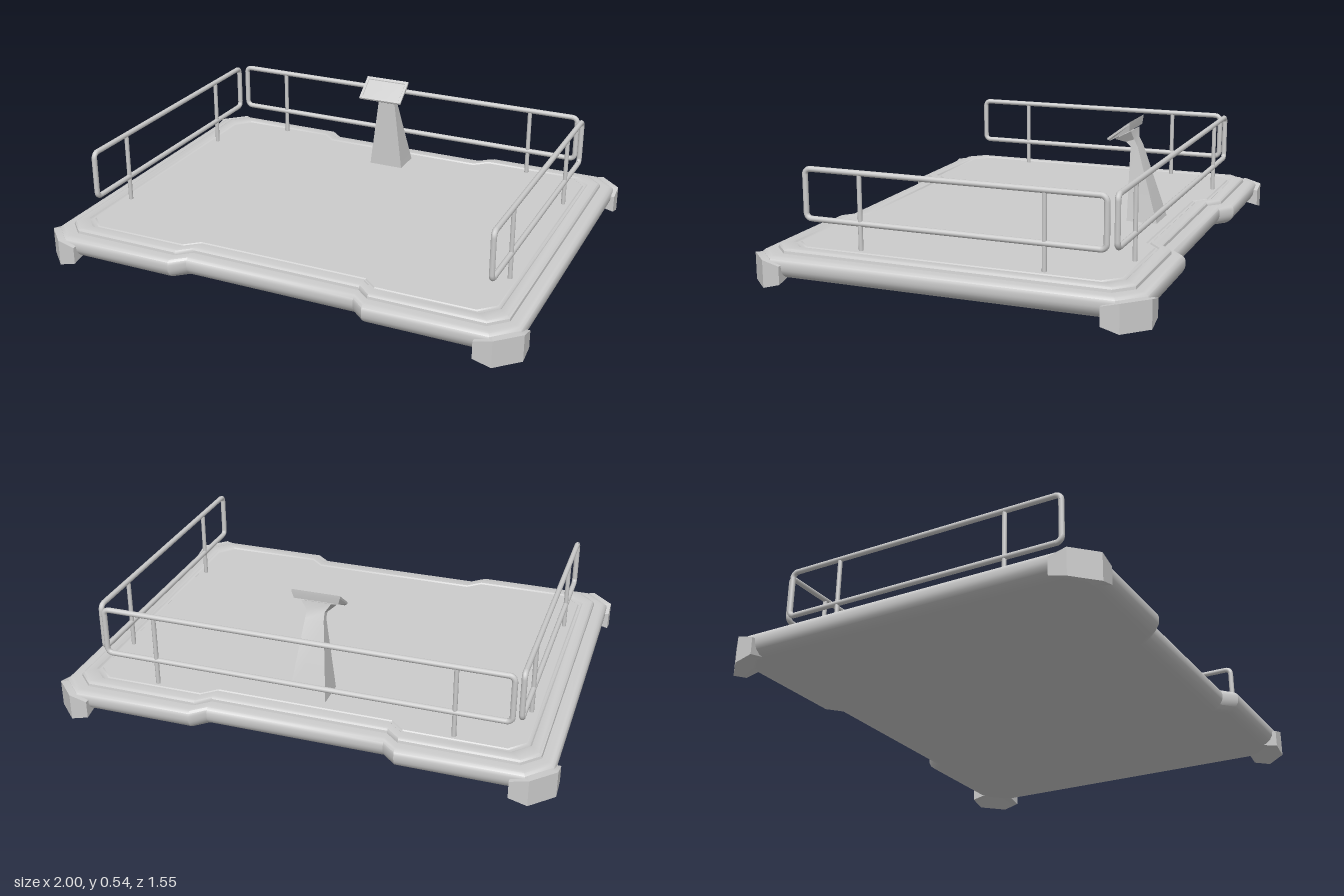
import * as THREE from 'three';
import { toCreasedNormals } from 'three/addons/utils/BufferGeometryUtils.js';

const material = new THREE.MeshStandardMaterial({ color: 0xcccccc });

function add(parent, name, geometry) {
  const mesh = new THREE.Mesh(geometry, material);
  mesh.name = name;
  parent.add(mesh);
  return mesh;
}

// Skins a stack of closed rings (counter-clockwise seen from the last ring) and caps both ends.
function loft(rings, crease = 0.55) {
  const pos = [];
  const tri = (a, b, c) => pos.push(...a, ...b, ...c);
  const n = rings[0].length;
  const centre = (ring) => [0, 1, 2].map((k) => ring.reduce((s, p) => s + p[k], 0) / n);
  const first = rings[0], last = rings[rings.length - 1];
  const c0 = centre(first), c1 = centre(last);
  for (let i = 0; i < n; i++) {
    const j = (i + 1) % n;
    for (let r = 0; r < rings.length - 1; r++) {
      const a = rings[r], b = rings[r + 1];
      tri(a[i], a[j], b[j]);
      tri(a[i], b[j], b[i]);
    }
    tri(c0, first[j], first[i]);
    tri(c1, last[i], last[j]);
  }
  const g = new THREE.BufferGeometry();
  g.setAttribute('position', new THREE.Float32BufferAttribute(pos, 3));
  return toCreasedNormals(g, crease);
}

// Platform outline: chamfered rectangle, notched in the middle of the front and back edges.
function outline(inset, y) {
  const hx = 0.985 - inset, hz = 0.757 - inset, nz = 0.709 - inset;
  const c = Math.max(0.06, 0.09 - inset * 0.45);
  const quarter = [[hx, -(hz - c)], [hx - c, -hz], [0.41, -hz], [0.355, -nz]];
  const half = [...quarter, ...quarter.map(([x, z]) => [-x, z]).reverse()];
  return [...half, ...half.map(([x, z]) => [-x, -z])].map(([x, z]) => [x, y, z]);
}

// Straight round bar between two points.
function bar(parent, name, a, b, r) {
  const from = new THREE.Vector3(...a), dir = new THREE.Vector3(...b).sub(from);
  const m = add(parent, name, new THREE.CylinderGeometry(r, r, dir.length(), 10));
  m.position.copy(from).addScaledVector(dir, 0.5);
  m.quaternion.setFromUnitVectors(new THREE.Vector3(0, 1, 0), dir.normalize());
}

// Rounded rectangular rail frame on two posts, built in the xy plane.
function railing(name, halfLength, postX) {
  const g = new THREE.Group();
  g.name = name;
  const r = 0.011, bend = 0.022, y0 = 0.24, y1 = 0.43, h = halfLength;
  for (const y of [y0, y1]) bar(g, 'rail', [-h + bend, y, 0], [h - bend, y, 0], r);
  for (const s of [-1, 1]) {
    bar(g, 'railEnd', [s * h, y0 + bend, 0], [s * h, y1 - bend, 0], r);
    bar(g, 'railPost', [s * postX, 0.13, 0], [s * postX, y1, 0], 0.009);
  }
  const corners = [[h, y1], [-h, y1], [-h, y0], [h, y0]];
  corners.forEach(([x, y], i) => {
    const elbow = add(g, 'railElbow', new THREE.TorusGeometry(bend, r, 10, 6, Math.PI / 2));
    elbow.position.set(x - Math.sign(x) * bend, y + (y === y1 ? -bend : bend), 0);
    elbow.rotation.z = i * Math.PI / 2;
  });
  return g;
}

// Wrap-around bumper at one corner, thinning toward both ends.
function cornerBumper(sx, sz) {
  const stations = [ // outer x, z, inner x, z, bottom, top
    [1.0, 0.618, 0.92, 0.618, 0.022, 0.092],
    [1.0, 0.687, 0.92, 0.655, 0.003, 0.11],
    [0.912, 0.774, 0.88, 0.695, 0.003, 0.11],
    [0.84, 0.774, 0.84, 0.695, 0.022, 0.092],
  ];
  const rings = stations.map(([ox, oz, ix, iz, b, t]) => {
    const ring = [[ox, b, oz], [ox, t, oz], [ix, t, iz], [ix, 0.04, iz]]
      .map(([x, y, z]) => [x * sx, y, z * sz]);
    return sx * sz < 0 ? ring.reverse() : ring;
  });
  return loft(rings, 0.3);
}

// Four-cornered ring with its own front and back heights.
const slice = (hw, yf, zf, yb, zb) => [[hw, yf, zf], [hw, yb, zb], [-hw, yb, zb], [-hw, yf, zf]];

export function createModel() {
  const model = new THREE.Group();
  model.name = 'railedPlatform';

  // Hull with rounded underside, stepped rim and shallow groove around the floor
  const profile = [
    [0.05, 0.035], [0.03, 0.04], [0.012, 0.054], [0.002, 0.072], [0, 0.085],
    [0, 0.1], [0.004, 0.111], [0.014, 0.119], [0.026, 0.121], [0.054, 0.121],
    [0.056, 0.131], [0.062, 0.137], [0.07, 0.139], [0.1, 0.139],
    [0.106, 0.134], [0.116, 0.134], [0.12, 0.138],
  ];
  add(model, 'platform', loft(profile.map(([d, y]) => outline(d, y))));

  // Corner bumpers
  for (const sx of [-1, 1])
    for (const sz of [-1, 1]) add(model, 'cornerBumper', cornerBumper(sx, sz));

  // Railings on the back and both sides
  const back = railing('backRailing', 0.812, 0.6);
  back.position.z = -0.618;
  model.add(back);
  for (const s of [-1, 1]) {
    const side = railing(s > 0 ? 'leftRailing' : 'rightRailing', 0.589, 0.362);
    side.position.x = s * 0.84;
    side.rotation.y = Math.PI / 2;
    model.add(side);
  }

  // Control console: tapered pedestal flaring into a tilted panel
  const panelConsole = new THREE.Group();
  panelConsole.name = 'console';
  model.add(panelConsole);
  add(panelConsole, 'pedestal', loft([
    slice(0.076, 0.13, -0.425, 0.13, -0.553),
    slice(0.038, 0.437, -0.425, 0.437, -0.455),
    slice(0.036, 0.454, -0.405, 0.467, -0.439),
    slice(0.06, 0.468, -0.365, 0.503, -0.432),
  ], 0.3));
  add(panelConsole, 'panel', loft([
    slice(0.09, 0.466, -0.356, 0.508, -0.434),
    slice(0.097, 0.469, -0.348, 0.535, -0.437),
    slice(0.097, 0.476, -0.345, 0.546, -0.437),
    slice(0.086, 0.484, -0.354, 0.539, -0.427),
    slice(0.084, 0.482, -0.357, 0.535, -0.427),
  ], 0.3));
  return model;
}
